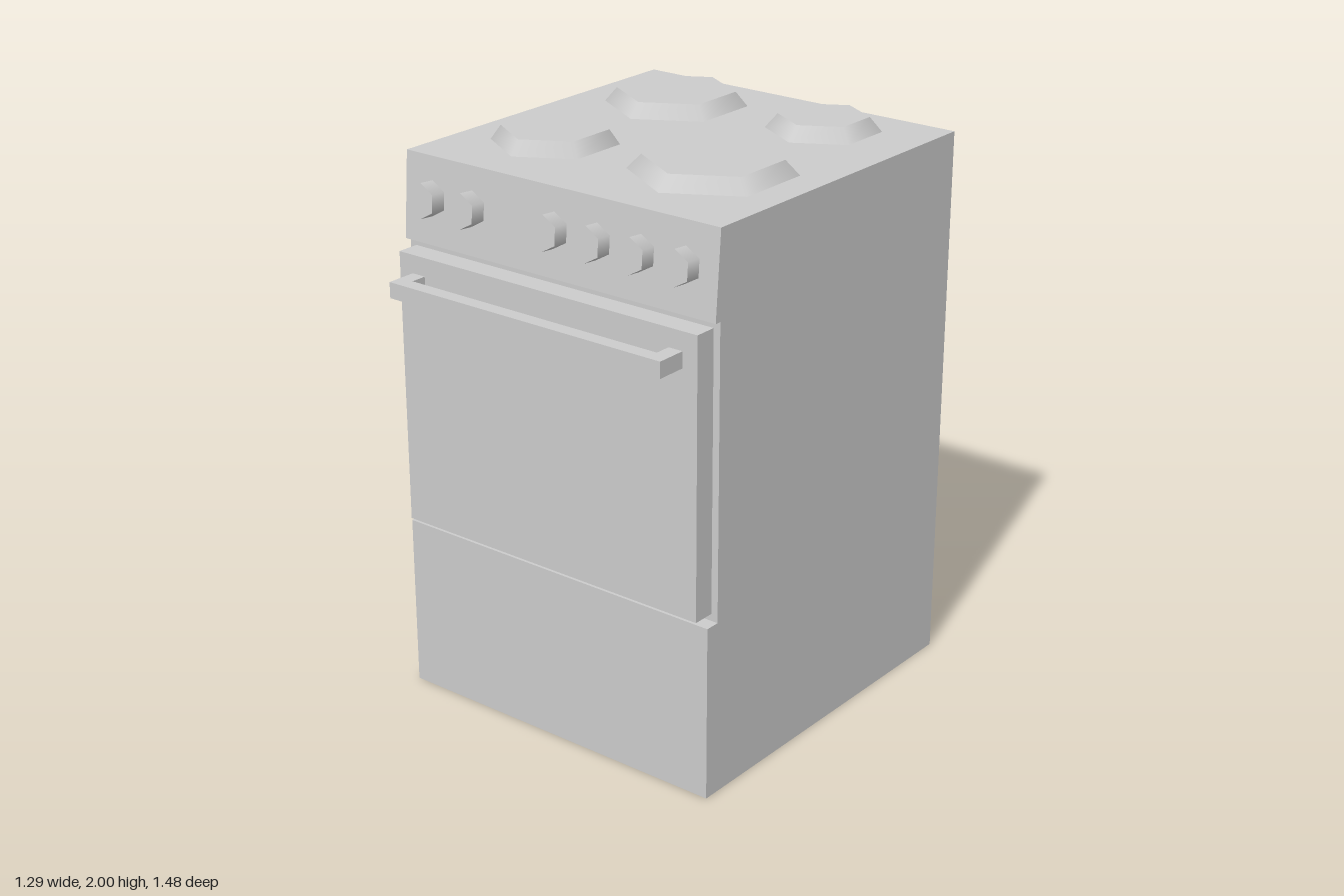
import * as THREE from 'three';

const material = new THREE.MeshStandardMaterial({ color: 0xcccccc });

function add(parent, name, geometry, x = 0, y = 0, z = 0) {
  const mesh = new THREE.Mesh(geometry, material);
  mesh.name = name;
  mesh.position.set(x, y, z);
  parent.add(mesh);
  return mesh;
}

export function createModel() {
  const stove = new THREE.Group();
  stove.name = 'stove';

  // Body: side profile (z, y) with the door recess and sloped control panel
  const profile = [
    [-0.742, 0], [0.606, 0], [0.606, 0.625], [0.553, 0.625],
    [0.553, 1.65], [0.576, 1.65], [0.553, 1.95], [-0.742, 1.95],
  ];
  const shape = new THREE.Shape(profile.map(([z, y]) => new THREE.Vector2(z, y)));
  const bodyGeometry = new THREE.ExtrudeGeometry(shape, { depth: 1.294, bevelEnabled: false });
  bodyGeometry.translate(0, 0, -0.647).rotateY(-Math.PI / 2);
  add(stove, 'body', bodyGeometry);

  // Oven door
  add(stove, 'ovenDoor', new THREE.BoxGeometry(1.244, 0.975, 0.08), 0, 1.1375, 0.593);

  // Door handle: bar on two posts
  const handle = new THREE.Group();
  handle.name = 'doorHandle';
  add(handle, 'handleBar', new THREE.BoxGeometry(1.13, 0.056, 0.052), 0, 1.532, 0.716);
  for (const side of [-1, 1]) {
    add(handle, 'handlePost', new THREE.BoxGeometry(0.054, 0.056, 0.057), side * 0.538, 1.532, 0.6615);
  }
  stove.add(handle);

  // Six-sided knobs, square to the sloped panel
  const knobGeometry = new THREE.CylinderGeometry(0.061, 0.061, 0.06, 6);
  const tilt = Math.atan2(0.023, 0.3);
  for (const x of [-0.53, -0.355, -0.005, 0.17, 0.345, 0.52]) {
    add(stove, 'knob', knobGeometry, x, 1.81, 0.59).rotation.x = Math.PI / 2 - tilt;
  }

  // Hotplates: x, z, top radius, base radius
  const plates = [
    [-0.3, -0.433, 0.209, 0.251],
    [0.289, -0.486, 0.155, 0.198],
    [-0.325, 0.183, 0.183, 0.218],
    [0.289, 0.126, 0.231, 0.279],
  ];
  for (const [x, z, top, base] of plates) {
    add(stove, 'hotplate', new THREE.CylinderGeometry(top, base, 0.05, 6), x, 1.975, z);
  }
  return stove;
}
